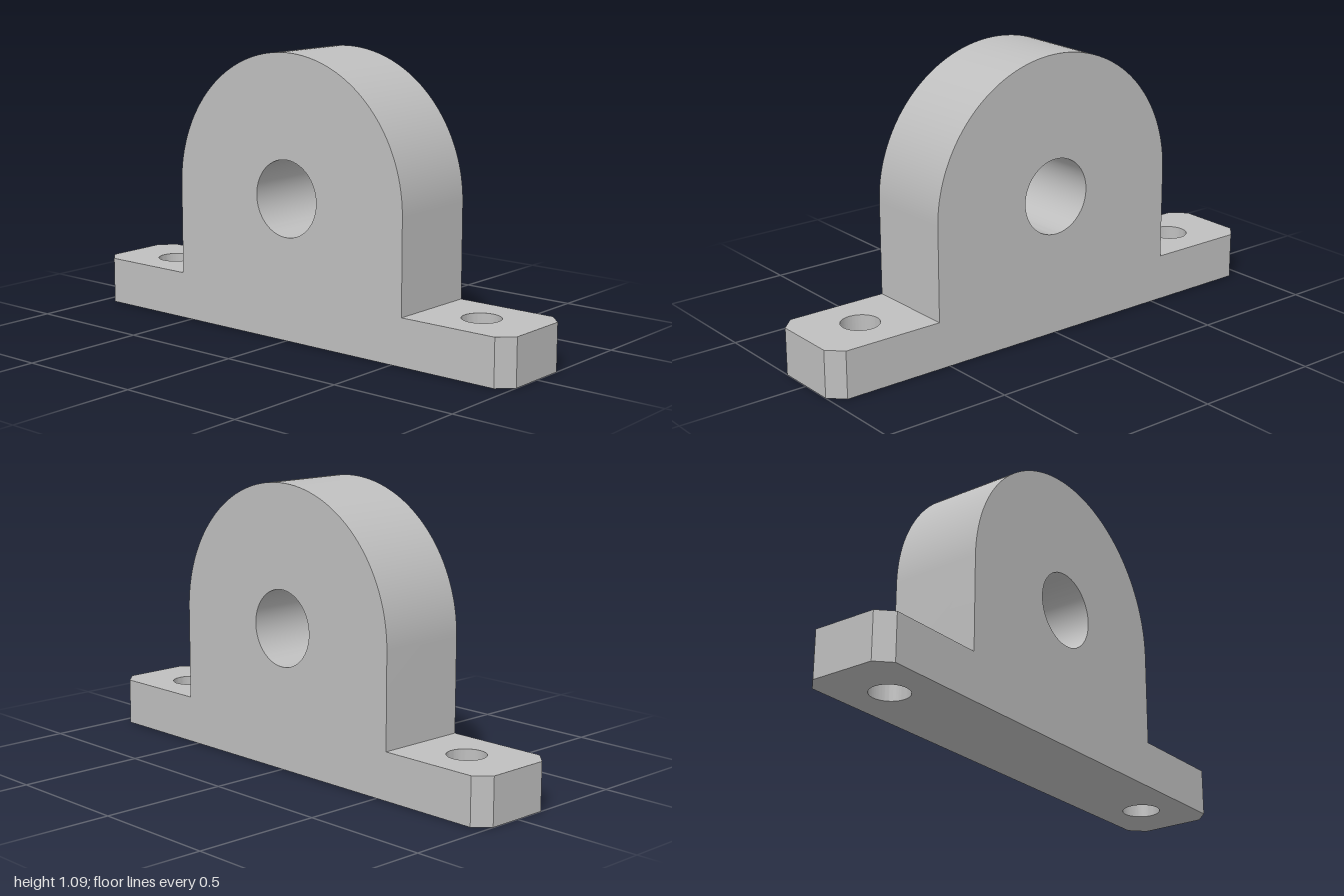
import * as THREE from 'three';
import { toCreasedNormals } from 'three/addons/utils/BufferGeometryUtils.js';

const RADIUS = 0.545;      // rounded housing, also the bore height
const HALF_DEPTH = 0.182;
const FOOT_HEIGHT = 0.182;
const CHAMFER = 0.055;

function circleHole(x, y, r) {
  return new THREE.Path().absarc(x, y, r, 0, Math.PI * 2, true);
}

// Extrude a shape, smoothing curved walls and keeping edges sharp
function extrude(shape, depth) {
  const geometry = new THREE.ExtrudeGeometry(shape, { depth, bevelEnabled: false, curveSegments: 48 });
  return toCreasedNormals(geometry, 0.5);
}

export function createModel() {
  const group = new THREE.Group();
  group.name = 'pillowBlock';
  const metal = new THREE.MeshStandardMaterial({ color: 0xbfbfbf });
  metal.name = 'grey metal';

  // Upright housing with a round top and a central bore
  const upright = new THREE.Shape();
  upright.moveTo(-RADIUS, 0);
  upright.lineTo(RADIUS, 0);
  upright.lineTo(RADIUS, RADIUS);
  upright.absarc(0, RADIUS, RADIUS, 0, Math.PI, false);
  upright.closePath();
  upright.holes.push(circleHole(0, RADIUS, 0.147));
  const housing = new THREE.Mesh(extrude(upright, HALF_DEPTH * 2), metal);
  housing.name = 'housing';
  housing.position.z = -HALF_DEPTH;
  group.add(housing);

  // Mounting feet with chamfered corners and a bolt hole each
  const foot = new THREE.Shape([
    [RADIUS, -HALF_DEPTH],
    [1 - CHAMFER, -HALF_DEPTH],
    [1, -HALF_DEPTH + CHAMFER],
    [1, HALF_DEPTH - CHAMFER],
    [1 - CHAMFER, HALF_DEPTH],
    [RADIUS, HALF_DEPTH],
  ].map(([x, y]) => new THREE.Vector2(x, y)));
  foot.holes.push(circleHole(0.764, 0, 0.073));
  const footGeometry = extrude(foot, FOOT_HEIGHT).rotateX(-Math.PI / 2);
  for (const [name, turn] of [['leftFoot', 0], ['rightFoot', Math.PI]]) {
    const mesh = new THREE.Mesh(footGeometry, metal);
    mesh.name = name;
    mesh.rotation.y = turn;
    group.add(mesh);
  }
  return group;
}
